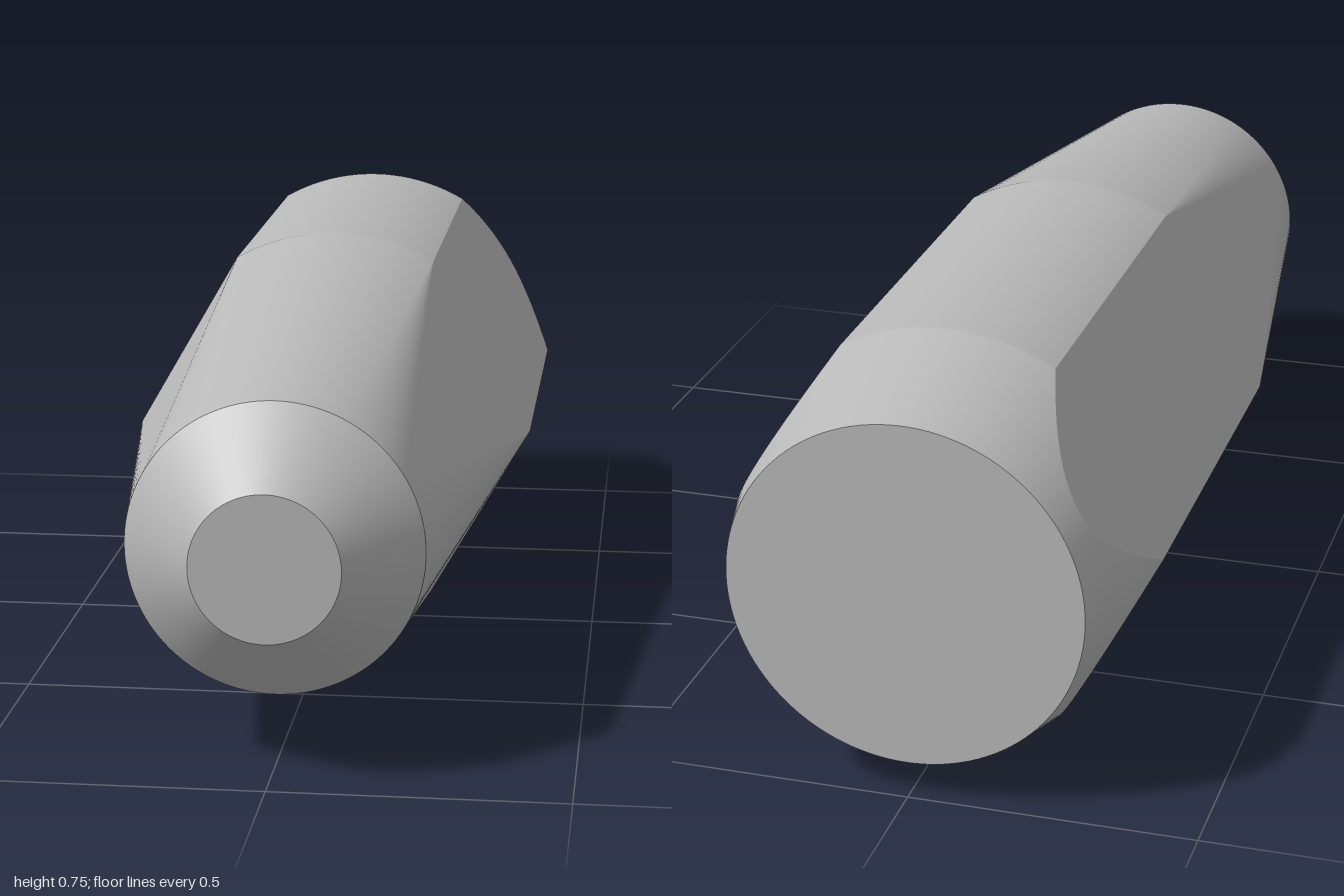
import * as THREE from 'three';

const R = 0.375;                                   // full body radius
const FLAT = R * Math.cos(Math.PI / 6);            // axis to flat distance
const TAPER = Math.PI / 12;                        // rear chamfer slope
const NECK = 0.25, TIP = 0.125, NECK_Z = 0.875;
const REAR_R = R - 0.25 * Math.tan(TAPER);
const STEP = 3;
const rad = THREE.MathUtils.degToRad;
const polar = (deg, r, z) => new THREE.Vector3(r * Math.cos(rad(deg)), r * Math.sin(rad(deg)), z);

// Start angles of the 60 degree sectors; top and bottom stay round
const sectors = [0, 60, 120, 180, 240, 300];
const isRound = (s) => s % 180 === 60;

// Radius of the body section at an angle
function sectionRadius(deg) {
  const s = Math.floor((((deg % 360) + 360) % 360) / 60) * 60;
  return isRound(s) ? R : FLAT / Math.cos(rad(deg - Math.floor(deg / 60) * 60 - 30));
}

// Depth at which the section meets the rear chamfer cone
const chamferZ = (deg) => -0.75 - (R - sectionRadius(deg)) / Math.tan(TAPER);

// Surface ruled between rear points a and front points b, with one normal per row
function ruled(rows) {
  const position = [], normal = [], index = [];
  rows.forEach(({ a, b, n }, i) => {
    position.push(...a.toArray(), ...b.toArray());
    normal.push(...n.toArray(), ...n.toArray());
    if (i) {
      const p = 2 * i - 2;
      index.push(p, p + 2, p + 3, p, p + 3, p + 1);
    }
  });
  const g = new THREE.BufferGeometry();
  g.setAttribute('position', new THREE.Float32BufferAttribute(position, 3));
  g.setAttribute('normal', new THREE.Float32BufferAttribute(normal, 3));
  g.setIndex(index);
  return g;
}

// One side of the straight body, from z = 0 back to the chamfer
function bodySide(start) {
  const rows = [];
  for (let d = start; d <= start + 60; d += STEP) {
    const r = sectionRadius(d);
    rows.push({
      a: polar(d, r, chamferZ(d)),
      b: polar(d, r, 0),
      n: polar(isRound(start) ? d : start + 30, 1, 0),
    });
  }
  return ruled(rows);
}

// Rear conical chamfer, scalloped where it meets the flats
function rearChamfer() {
  const rows = [];
  for (let d = 0; d <= 360; d += STEP) {
    rows.push({
      a: polar(d, REAR_R, -1),
      b: polar(d, sectionRadius(d), chamferZ(d)),
      n: polar(d, Math.cos(TAPER), -Math.sin(TAPER)),
    });
  }
  return ruled(rows);
}

// Front taper blending the flatted section into a circle
function frontTaper() {
  const rows = [];
  const add = (section, circle) => {
    const a = polar(section, R, 0), b = polar(circle, NECK, NECK_Z);
    const n = polar(circle + 90, 1, 0).cross(b.clone().sub(a)).normalize();
    rows.push({ a, b, n });
  };
  for (const base of [0, 180]) {
    for (let d = -30; d <= 30; d += STEP) add(base, base + d);
    for (let d = 30; d <= 150; d += STEP) add(base + THREE.MathUtils.clamp(d, 60, 120), base + d);
  }
  add(360, 330);
  return ruled(rows);
}

export function createModel() {
  const model = new THREE.Group();
  model.name = 'taperedHandle';
  const grey = new THREE.MeshStandardMaterial({ color: 0xb8b8b8 });
  grey.name = 'plain grey';

  const add = (name, geometry) => {
    const mesh = new THREE.Mesh(geometry, grey);
    mesh.name = name;
    mesh.position.y = R;
    model.add(mesh);
  };

  sectors.forEach((s) => add(isRound(s) ? 'roundedSide' : 'flatSide', bodySide(s)));
  add('rearChamfer', rearChamfer());
  add('frontTaper', frontTaper());

  // Nose cone and end caps
  const sides = 360 / STEP;
  const nose = new THREE.CylinderGeometry(TIP, NECK, 1 - NECK_Z, sides, 1, true);
  add('noseCone', nose.rotateX(Math.PI / 2).translate(0, 0, (1 + NECK_Z) / 2));
  add('noseCap', new THREE.CircleGeometry(TIP, sides).translate(0, 0, 1));
  add('rearCap', new THREE.CircleGeometry(REAR_R, sides).rotateY(Math.PI).translate(0, 0, -1));
  return model;
}
